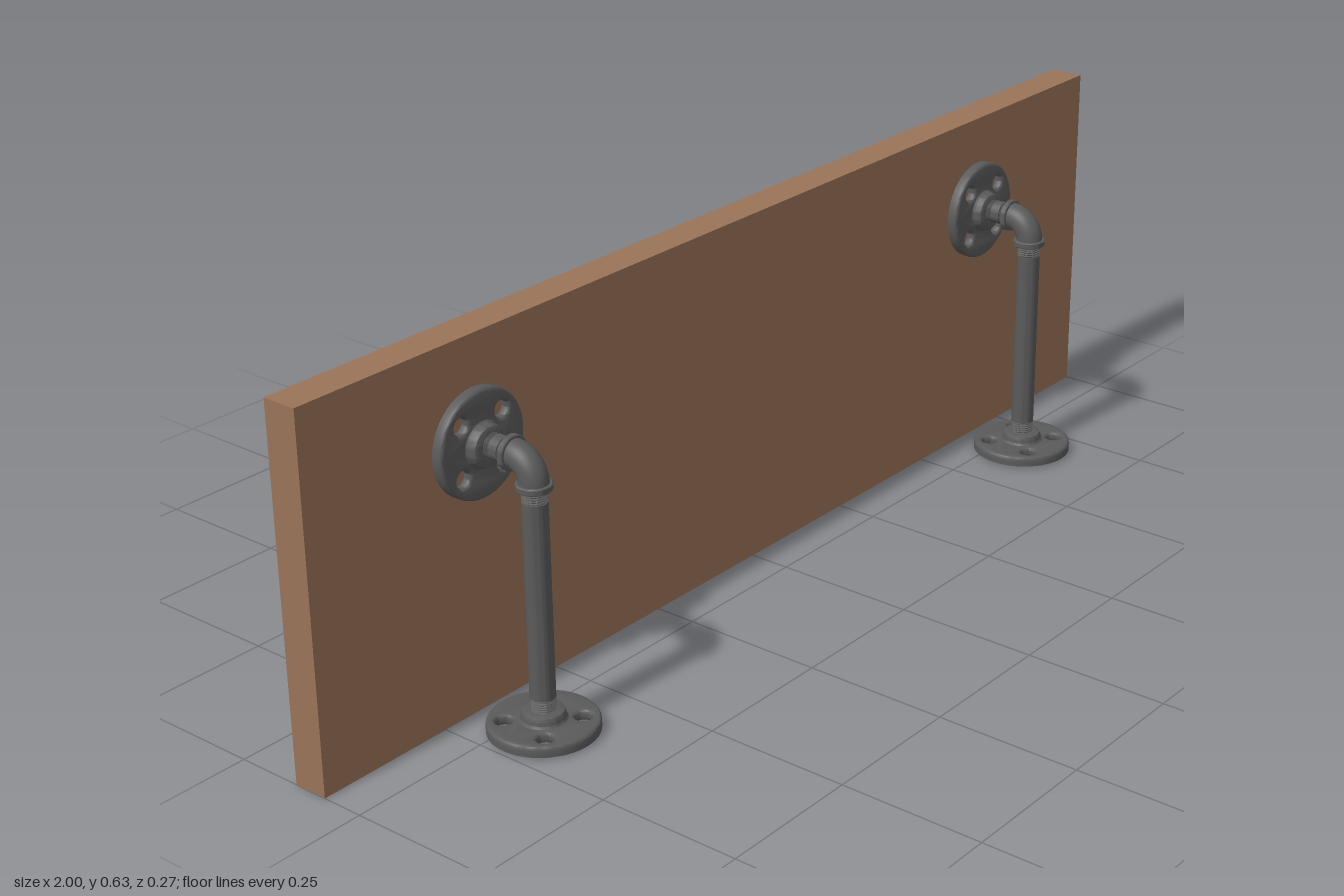
import * as THREE from 'three';
import { toCreasedNormals } from 'three/addons/utils/BufferGeometryUtils.js';

const FLANGE_R = 0.089;
const AXIS_Z = 0.046; // upright pipe axis
const ELBOW_Y = 0.457; // horizontal nipple axis

export function createModel() {
  const wood = new THREE.MeshStandardMaterial({ name: 'brown wood', color: 0x9a7358 });
  const iron = new THREE.MeshStandardMaterial({ name: 'dark iron', color: 0x5a5a5a });

  const mesh = (name, geometry, material = iron) => {
    const m = new THREE.Mesh(geometry, material);
    m.name = name;
    return m;
  };
  const lathe = (profile) => toCreasedNormals(
    new THREE.LatheGeometry(profile.map(([r, y]) => new THREE.Vector2(r, y)), 40), 0.5);

  // Flange plate with four screw holes and a bore; rim rounded on the hub side only
  function plateGeometry(thickness) {
    const shape = new THREE.Shape().absarc(0, 0, FLANGE_R, 0, Math.PI * 2);
    const hole = (x, y, r) => shape.holes.push(new THREE.Path().absarc(x, y, r, 0, Math.PI * 2, true));
    for (const x of [-0.043, 0.043]) for (const y of [-0.043, 0.043]) hole(x, y, 0.014);
    hole(0, 0, 0.02);
    const bevel = 0.005;
    const g = new THREE.ExtrudeGeometry(shape, {
      depth: thickness - 2 * bevel, bevelThickness: bevel, bevelSize: bevel,
      bevelOffset: -bevel, bevelSegments: 3, curveSegments: 24,
    });
    g.translate(0, 0, bevel);
    const p = g.attributes.position;
    for (let i = 0; i < p.count; i++) {
      const r = Math.hypot(p.getX(i), p.getY(i));
      if (p.getZ(i) < thickness / 2 && r > 0.08) {
        p.setXY(i, p.getX(i) * FLANGE_R / r, p.getY(i) * FLANGE_R / r);
      }
    }
    g.rotateX(-Math.PI / 2);
    return toCreasedNormals(g, 0.6);
  }

  const plate = plateGeometry(0.018);
  const hub = lathe([
    [0.02, 0.016], [0.043, 0.0165], [0.038, 0.0185], [0.0355, 0.022],
    [0.035, 0.028], [0.033, 0.033], [0.029, 0.035], [0.019, 0.035],
  ]);

  function flange(name) {
    const group = new THREE.Group();
    group.name = name;
    group.add(mesh('flangePlate', plate), mesh('flangeHub', hub));
    return group;
  }

  // Closed pipe with a smooth middle and ridged threads at both ends
  function pipeGeometry(from, smoothFrom, smoothTo, to) {
    const pts = [[0, from]];
    const pitch = 0.004;
    const thread = (a, b) => {
      const n = Math.max(1, Math.round((b - a) / pitch));
      const step = (b - a) / n;
      for (let i = 0; i < n; i++) {
        pts.push([0.0178, a + i * step], [0.0203, a + (i + 0.4) * step], [0.0203, a + (i + 0.6) * step]);
      }
      pts.push([0.0178, b]);
    };
    thread(from, smoothFrom);
    pts.push([0.0205, smoothFrom], [0.0205, smoothTo]);
    thread(smoothTo, to);
    pts.push([0, to]);
    return lathe(pts);
  }

  const upright = pipeGeometry(0.012, 0.06, 0.39, 0.414);
  const nipple = pipeGeometry(0, 0.018, 0.035, 0.05);
  const collar = lathe([
    [0, -0.0055], [0.0268, -0.0055], [0.0285, -0.004], [0.0285, 0.004], [0.0268, 0.0055], [0, 0.0055],
  ]);

  // Quarter bend from the upright to the wall
  class Bend extends THREE.Curve {
    getPoint(t, target = new THREE.Vector3()) {
      const a = t * Math.PI / 2;
      const r = 0.038;
      return target.set(0, ELBOW_Y - r + r * Math.sin(a), AXIS_Z - r + r * Math.cos(a));
    }
  }
  const bend = new THREE.TubeGeometry(new Bend(), 20, 0.0235, 32);

  function bracket(name, x) {
    const group = new THREE.Group();
    group.name = name;
    group.position.x = x;

    const floorFlange = flange('floorFlange');
    floorFlange.position.set(0, 0.004, AXIS_Z);

    const wallFlange = flange('wallFlange');
    wallFlange.rotation.x = Math.PI / 2;
    wallFlange.position.set(0, 0.453, -0.073);

    const post = mesh('uprightPipe', upright);
    post.position.z = AXIS_Z;

    const wallPipe = mesh('wallNipple', nipple);
    wallPipe.rotation.x = Math.PI / 2;
    wallPipe.position.set(0, ELBOW_Y, -0.045);

    const lowerCollar = mesh('elbowLowerCollar', collar);
    lowerCollar.position.set(0, 0.415, AXIS_Z);

    const rearCollar = mesh('elbowRearCollar', collar);
    rearCollar.rotation.x = Math.PI / 2;
    rearCollar.position.set(0, ELBOW_Y, 0.0035);

    group.add(floorFlange, wallFlange, post, wallPipe, mesh('elbow', bend), lowerCollar, rearCollar);
    return group;
  }

  const model = new THREE.Group();
  model.name = 'pipeShelf';

  // Plank
  const board = mesh('board', new THREE.BoxGeometry(2, 0.626, 0.061), wood);
  board.position.set(0, 0.313, -0.1035);

  model.add(board, bracket('leftBracket', 0.657), bracket('rightBracket', -0.657));
  return model;
}
